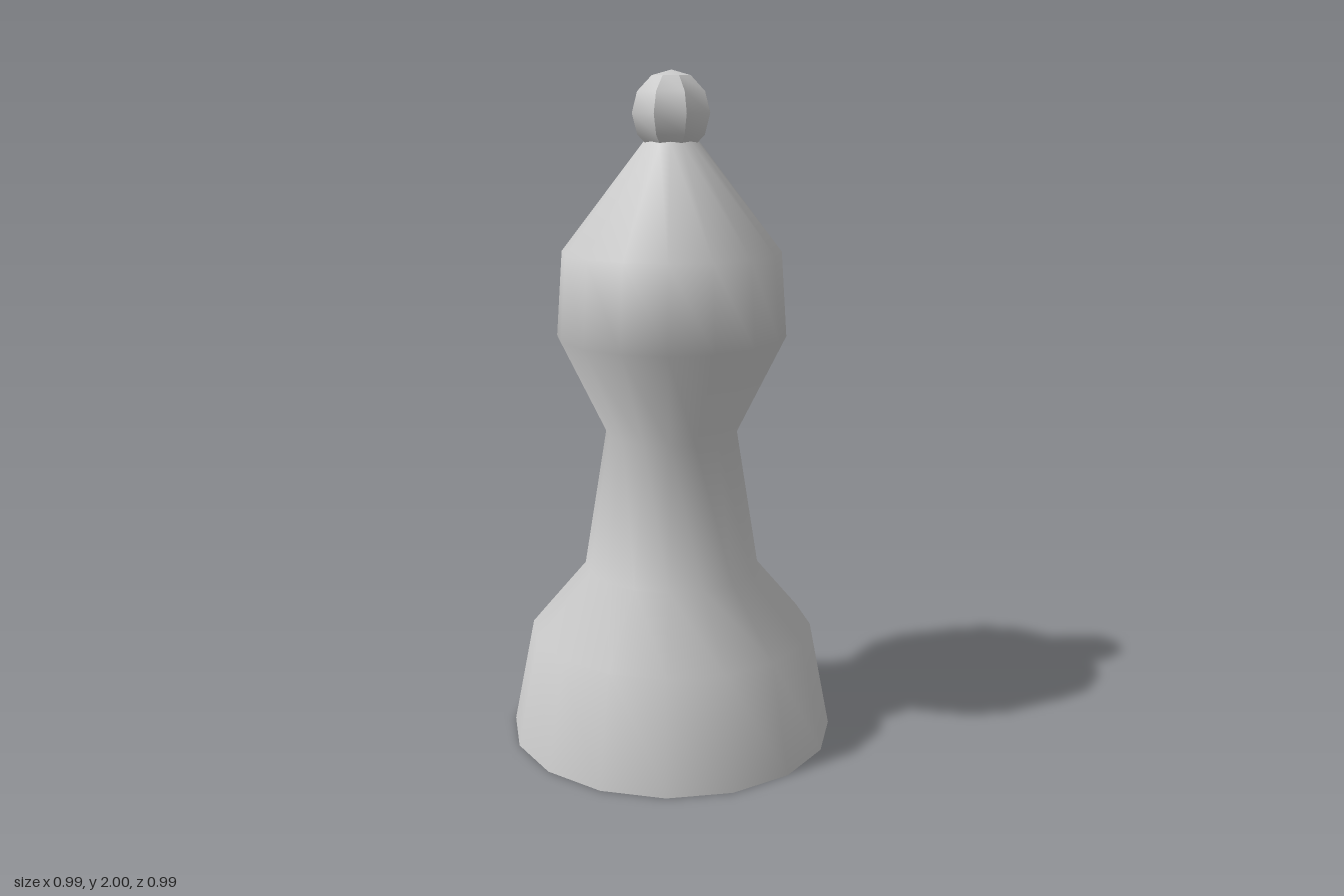
import * as THREE from 'three';
import { toCreasedNormals } from 'three/addons/utils/BufferGeometryUtils.js';

export function createModel() {
  const group = new THREE.Group();
  const material = new THREE.MeshStandardMaterial({ color: 0xcccccc });
  const add = (name, geometry) => {
    const mesh = new THREE.Mesh(geometry, material);
    mesh.name = name;
    group.add(mesh);
    return mesh;
  };

  // Turned body: flared base, narrow waist, bulbous head ending in a cone
  const profile = [
    [0.495, 0], [0.43, 0.33], [0.265, 0.525], [0.197, 0.945],
    [0.34, 1.235], [0.322, 1.485], [0.08, 1.8], [0, 1.9],
  ].map(([r, y]) => new THREE.Vector2(r, y));
  add('body', new THREE.LatheGeometry(profile, 16));

  // Flat underside
  add('underside', new THREE.CircleGeometry(0.495, 16).rotateX(Math.PI / 2));

  // Faceted knob on the tip
  const knob = toCreasedNormals(new THREE.SphereGeometry(0.12, 8, 6), Math.PI / 6);
  add('topKnob', knob).position.y = 1.88;

  return group;
}
